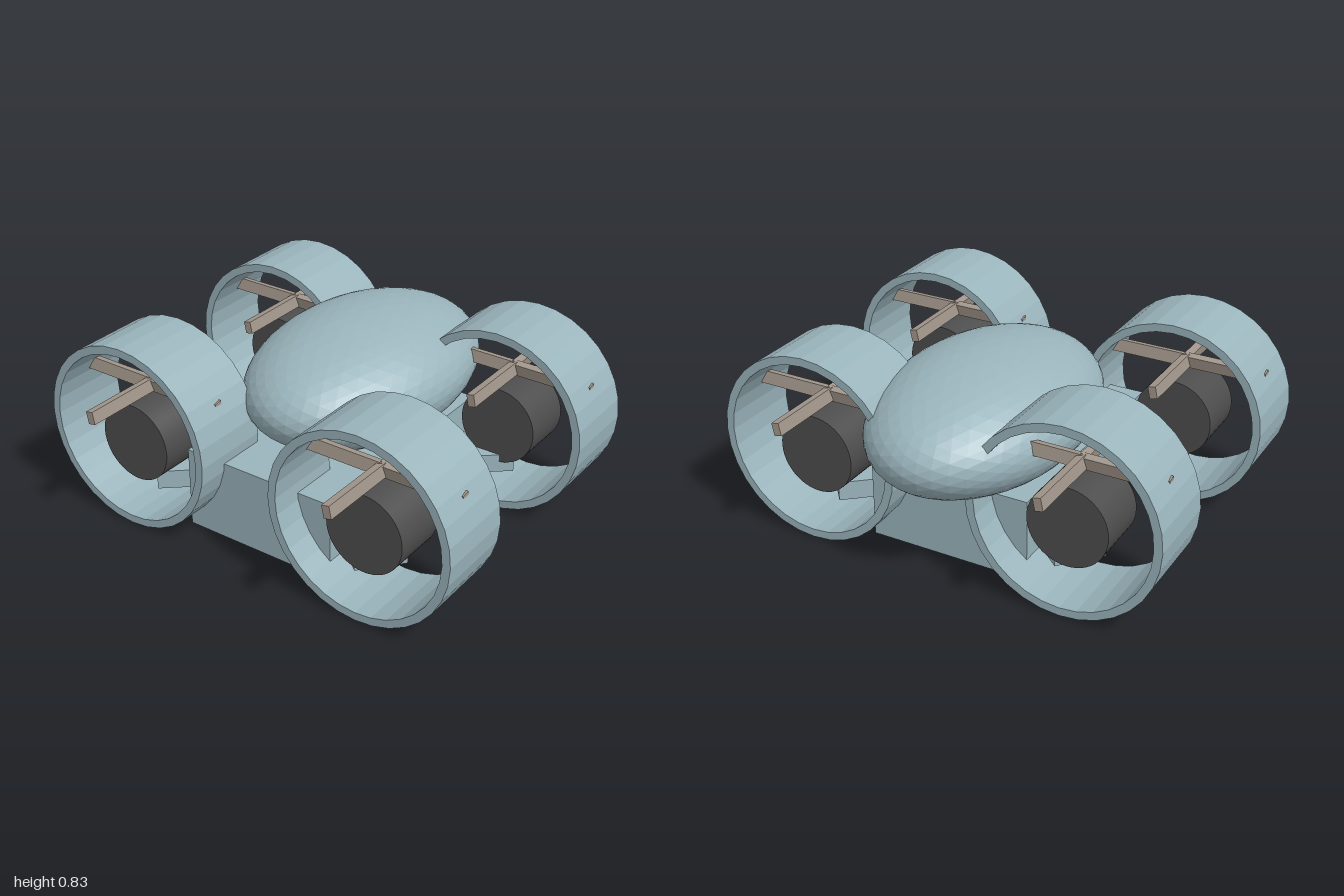
import * as THREE from 'three';

const X = 0.583, Z = 0.505; // rotor positions, mirrored into four corners

const paint = (color) => new THREE.MeshStandardMaterial({ color, flatShading: true });
const shell = paint(0x9ab4bc);
const dark = new THREE.MeshStandardMaterial({ color: 0x4d4d4d });
const wood = paint(0xa3978c);

function add(parent, name, geometry, material, x = 0, y = 0, z = 0) {
  const mesh = new THREE.Mesh(geometry, material);
  mesh.name = name;
  mesh.position.set(x, y, z);
  parent.add(mesh);
  return mesh;
}

// Hollow duct, open along z, from a closed rectangular profile
function ductGeometry(outer, inner, depth) {
  const h = depth / 2;
  const profile = [[inner, -h], [outer, -h], [outer, h], [inner, h], [inner, -h]]
    .map(([r, y]) => new THREE.Vector2(r, y));
  return new THREE.LatheGeometry(profile, 32).rotateX(Math.PI / 2);
}

// Four pitched blades crossing at the hub
function createPropeller() {
  const propeller = new THREE.Group();
  propeller.name = 'propeller';
  const blade = new THREE.BoxGeometry(0.365, 0.055, 0.035).rotateX(0.2).translate(0.1825, 0, 0);
  for (let i = 0; i < 4; i++) {
    add(propeller, 'blade', blade, wood).rotation.y = i * Math.PI / 2;
  }
  return propeller;
}

export function createModel() {
  const model = new THREE.Group();
  model.name = 'ductedAircraft';

  // Cabin and hull
  const cabin = new THREE.IcosahedronGeometry(1, 7).scale(0.435, 0.263, 0.652);
  add(model, 'cabin', cabin, shell, 0, 0.557, -0.218);
  add(model, 'hull', new THREE.BoxGeometry(0.73, 0.365, 1.09), shell, 0, 0.193, 0);

  const duct = ductGeometry(0.417, 0.381, 0.361);
  const motor = new THREE.CylinderGeometry(0.175, 0.175, 0.25, 48).rotateX(Math.PI / 2);
  const reach = Math.hypot(X, Z);
  const arm = new THREE.BoxGeometry(reach, 0.085, 0.218).translate(reach / 2, 0, 0);

  // Arm, duct, motor and propeller at each corner
  for (const sx of [-1, 1]) {
    for (const sz of [-1, 1]) {
      const unit = new THREE.Group();
      unit.name = (sz > 0 ? 'front' : 'rear') + (sx > 0 ? 'Left' : 'Right') + 'Rotor';
      add(unit, 'arm', arm, shell, 0, 0.193, 0).rotation.y = Math.atan2(-sz * Z, sx * X);
      add(unit, 'duct', duct, shell, sx * X, 0.42, sz * Z);
      add(unit, 'motor', motor, dark, sx * X, 0.375, sz * Z);
      const propeller = createPropeller();
      propeller.position.set(sx * X, 0.605, sz * Z);
      unit.add(propeller);
      model.add(unit);
    }
  }
  return model;
}
